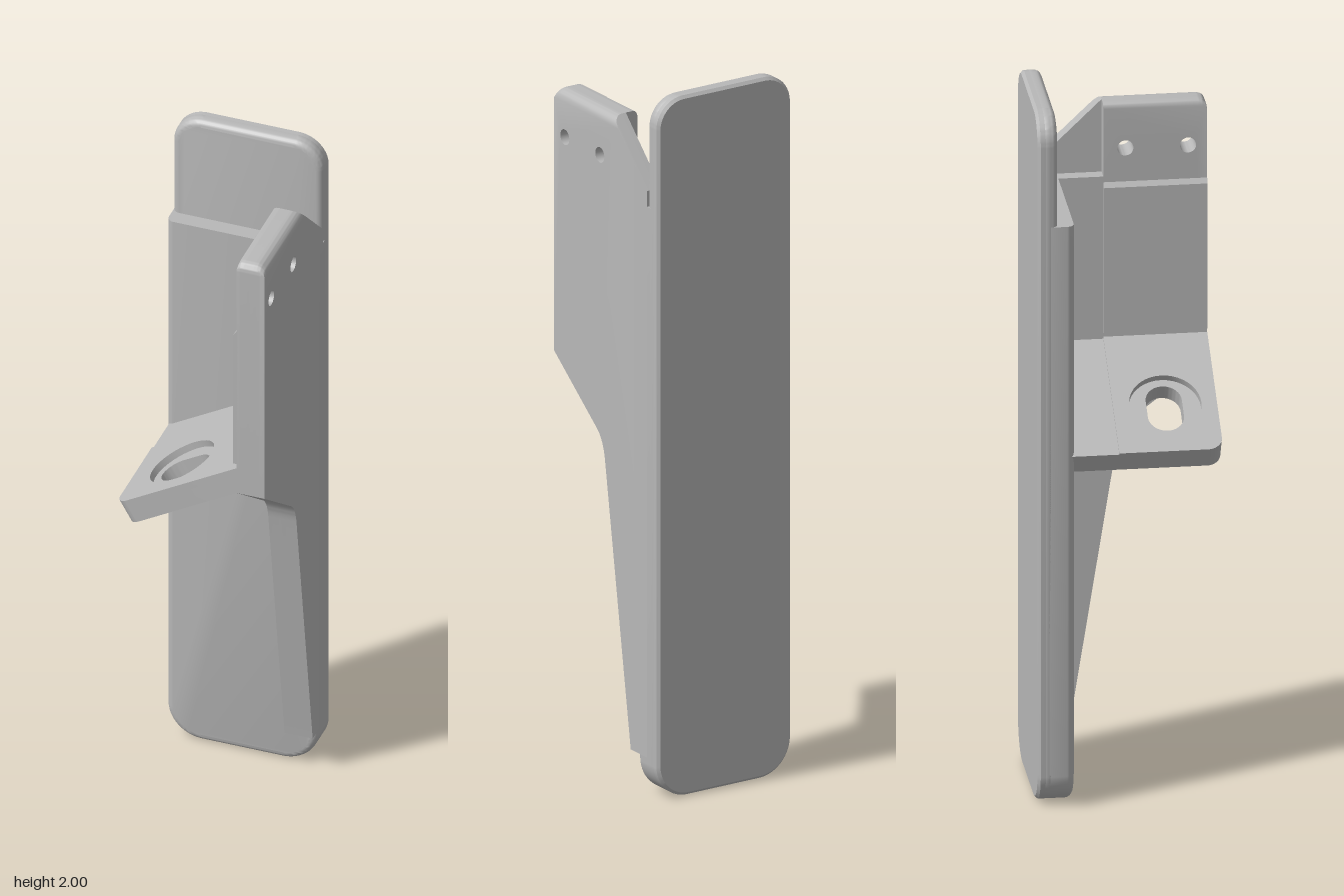
import * as THREE from 'three';
import { toCreasedNormals } from 'three/addons/utils/BufferGeometryUtils.js';

const grey = new THREE.MeshStandardMaterial({ color: 0xb8b8b8 });
grey.name = 'plain grey';

function part(name, geometry, parent) {
  const mesh = new THREE.Mesh(toCreasedNormals(geometry, 0.6), grey);
  mesh.name = name;
  parent.add(mesh);
  return mesh;
}

// Rectangle with its own corner radii at the bottom and top
function roundedRect(x0, y0, x1, y1, rb, rt) {
  const s = new THREE.Shape();
  s.moveTo(x0 + rb, y0);
  s.lineTo(x1 - rb, y0);
  if (rb) s.absarc(x1 - rb, y0 + rb, rb, -Math.PI / 2, 0);
  s.lineTo(x1, y1 - rt);
  if (rt) s.absarc(x1 - rt, y1 - rt, rt, 0, Math.PI / 2);
  s.lineTo(x0 + rt, y1);
  if (rt) s.absarc(x0 + rt, y1 - rt, rt, Math.PI / 2, Math.PI);
  s.lineTo(x0, y0 + rb);
  if (rb) s.absarc(x0 + rb, y0 + rb, rb, Math.PI, Math.PI * 1.5);
  return s;
}

// Slab with bevelled rims; anything above yMax is cut flat
function slab(name, parent, yTop, rTop, z0, z1, bevel, segments, yMax) {
  const b = bevel;
  const shape = roundedRect(-0.216 + b, b, 0.216 - b, yTop - b, 0.1 - b, rTop ? rTop - b : 0);
  const g = new THREE.ExtrudeGeometry(shape, {
    depth: z1 - z0 - 2 * b, bevelThickness: b, bevelSize: b, bevelSegments: segments, curveSegments: 10,
  });
  g.translate(0, 0, z0 + b);
  const p = g.attributes.position;
  for (let i = 0; i < p.count; i++) p.setY(i, Math.min(p.getY(i), yMax));
  part(name, g, parent);
}

// Side outline of the fin, drawn with -z to the right
function finShape(notched) {
  const s = new THREE.Shape();
  s.moveTo(0.2, 0.11);
  if (notched) {
    s.lineTo(0.2, 1.685);
    s.lineTo(0.03, 1.685);
  } else {
    s.lineTo(0.2, 1.73);
  }
  s.lineTo(0.03, 1.895);
  s.lineTo(-0.222, 1.895);
  s.quadraticCurveTo(-0.252, 1.895, -0.252, 1.866);
  s.lineTo(-0.252, 1.14);
  s.lineTo(-0.045, 0.98);
  s.quadraticCurveTo(-0.014, 0.956, -0.005, 0.9);
  s.lineTo(0.12, 0.11);
  for (const z of [0.2, 0.03]) {
    s.holes.push(new THREE.Path().absarc(-z, 1.765, 0.022, 0, Math.PI * 2, true));
  }
  return s;
}

// Fin layer whose top edge is rounded over on its outer or inner side
function finLayer(name, parent, x0, x1, notched, radius) {
  const depth = x1 - x0;
  const g = new THREE.ExtrudeGeometry(finShape(notched), {
    depth, steps: 14, bevelEnabled: false, curveSegments: 10,
  });
  const p = g.attributes.position;
  for (let i = 0; i < p.count; i++) {
    const y = p.getY(i);
    if (y <= 1.865) continue;
    const fromEdge = notched ? p.getZ(i) : depth - p.getZ(i);
    const t = Math.max(0, 1 - fromEdge / radius);
    const drop = (y - 1.865) * (radius / 0.03) * (1 - Math.sqrt(1 - Math.min(1, t * t)));
    p.setY(i, y - drop);
    if (p.getX(i) > 0 && !notched) p.setX(i, p.getX(i) + drop);
  }
  const mesh = part(name, g, parent);
  mesh.rotation.y = Math.PI / 2;
  mesh.position.x = x0;
}

// Flat plan of the lever: u runs up the slope, w runs forward
function leverPlan() {
  const s = new THREE.Shape();
  s.moveTo(0, -0.03);
  s.lineTo(0.41, -0.03);
  s.lineTo(0.41, 0.252);
  s.lineTo(0.04, 0.252);
  s.absarc(0.04, 0.212, 0.04, Math.PI / 2, Math.PI);
  s.lineTo(0, -0.03);
  return s;
}

export function createModel() {
  const model = new THREE.Group();
  model.name = 'bracket';

  // Back plate: tall thin sheet with a thicker lower section
  const plate = new THREE.Group();
  plate.name = 'backPlate';
  model.add(plate);
  slab('plateBack', plate, 2, 0.085, -0.252, -0.222, 0.008, 1, 2);
  slab('plateFront', plate, 2, 0.085, -0.25, -0.197, 0.02, 5, 2);
  slab('thickSection', plate, 1.71, 0, -0.24, -0.152, 0.02, 5, 1.685);

  // Upright side fin with two pin holes
  const fin = new THREE.Group();
  fin.name = 'sideFin';
  model.add(fin);
  finLayer('finOuter', fin, 0.172, 0.216, false, 0.03);
  finLayer('finInner', fin, 0.135, 0.172, true, 0.015);

  // Raised pad on the inner face of the fin, above the lever
  const pad = new THREE.Shape();
  pad.moveTo(0.14, 1.235);
  pad.lineTo(0.14, 1.675);
  pad.lineTo(0.125, 1.655);
  pad.lineTo(0.125, 1.235);
  const padGeo = new THREE.ExtrudeGeometry(pad, { depth: 0.282, bevelEnabled: false });
  padGeo.translate(0, 0, -0.03);
  part('finPad', padGeo, fin);

  // Sloping lever, with a round recess over a slotted hole
  const lever = new THREE.Group();
  lever.name = 'lever';
  const a = Math.PI / 6;
  lever.quaternion.setFromRotationMatrix(new THREE.Matrix4().makeBasis(
    new THREE.Vector3(Math.cos(a), Math.sin(a), 0),
    new THREE.Vector3(0, 0, 1),
    new THREE.Vector3(Math.sin(a), -Math.cos(a), 0),
  ));
  lever.position.set(-0.213, 1.02, 0);
  model.add(lever);

  const upper = leverPlan();
  upper.holes.push(new THREE.Path().absarc(0.162, 0.112, 0.098, 0, Math.PI * 2, true));
  part('leverTop', new THREE.ExtrudeGeometry(upper, {
    depth: 0.02, bevelEnabled: false, curveSegments: 20,
  }), lever);

  const lower = leverPlan();
  const slot = new THREE.Path();
  slot.absarc(0.189, 0.112, 0.049, Math.PI / 2, -Math.PI / 2, true);
  slot.absarc(0.135, 0.112, 0.049, -Math.PI / 2, -Math.PI * 1.5, true);
  slot.closePath();
  lower.holes.push(slot);
  const lowerGeo = new THREE.ExtrudeGeometry(lower, { depth: 0.05, bevelEnabled: false, curveSegments: 14 });
  lowerGeo.translate(0, 0, 0.02);
  part('leverBase', lowerGeo, lever);

  // Slightly lower web joining the lever to the plate
  const web = new THREE.BoxGeometry(0.41, 0.13, 0.065);
  web.translate(0.205, -0.095, 0.0375);
  part('leverWeb', web, lever);

  return model;
}
